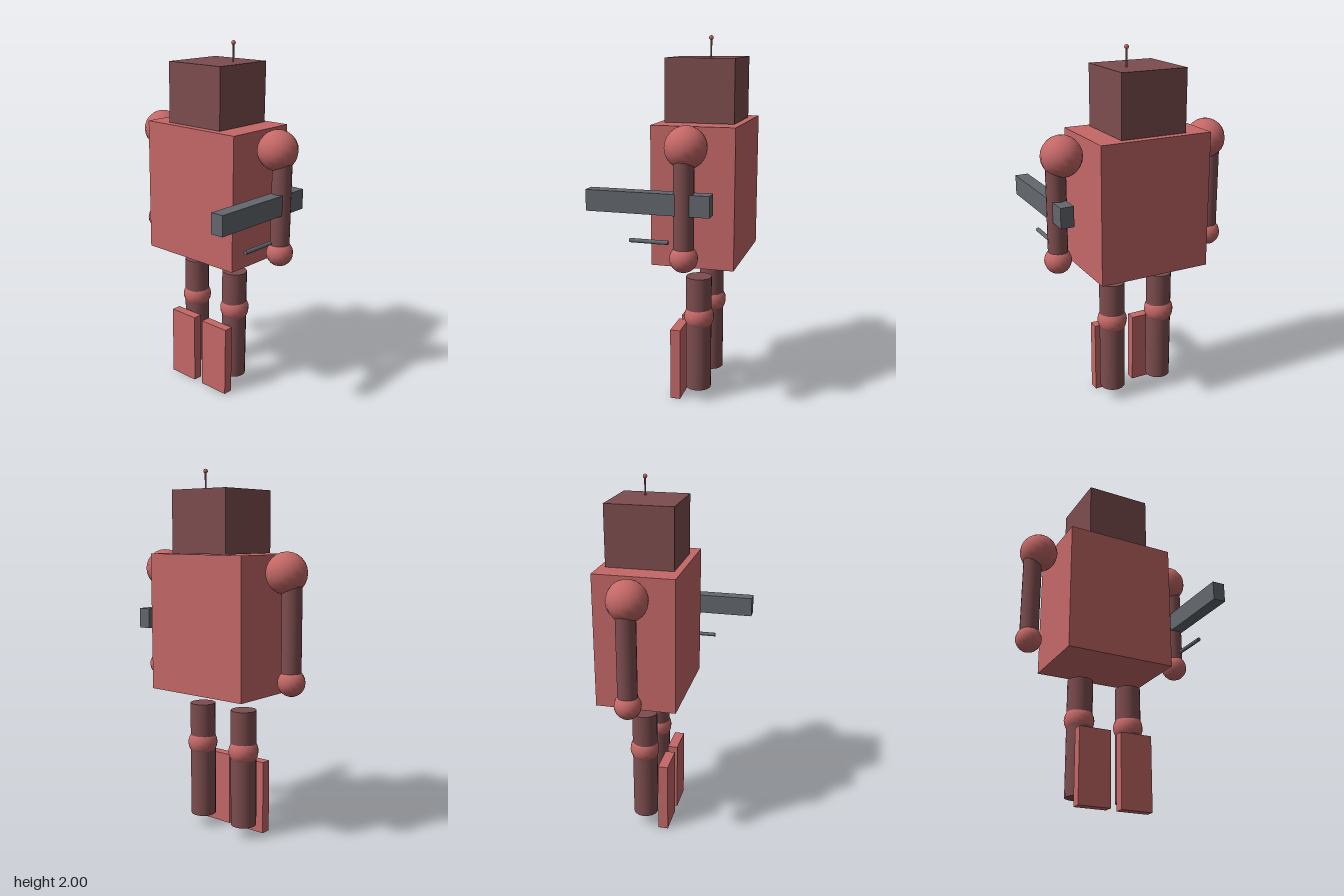
import * as THREE from 'three';

const red = new THREE.MeshStandardMaterial({ name: 'lightRed', color: 0xc46867 });
const brown = new THREE.MeshStandardMaterial({ name: 'darkRed', color: 0x7d4d4f });
const grey = new THREE.MeshStandardMaterial({ name: 'gunGrey', color: 0x63686e });

export function createModel() {
  const model = new THREE.Group();
  model.name = 'robot';

  const add = (name, geometry, material, x, y, z, parent = model) => {
    const mesh = new THREE.Mesh(geometry, material);
    mesh.name = name;
    mesh.position.set(x, y, z);
    parent.add(mesh);
    return mesh;
  };
  const box = (w, h, d) => new THREE.BoxGeometry(w, h, d);
  const ball = (r) => new THREE.SphereGeometry(r, 16, 12);
  const rod = (r, h) => new THREE.CylinderGeometry(r, r, h, 16);

  // Torso, head and antenna
  add('torso', box(0.63, 0.742, 0.445), red, 0, 1.183, -0.145);
  add('head', box(0.37, 0.332, 0.372), brown, 0, 1.722, -0.146);
  add('antennaStalk', rod(0.005, 0.1), brown, 0.08, 1.938, -0.182);
  add('antennaTip', ball(0.012), red, 0.08, 1.988, -0.182);

  for (const [side, s] of [['left', 1], ['right', -1]]) {
    // Arm
    const arm = new THREE.Group();
    arm.name = side + 'Arm';
    model.add(arm);
    add('shoulder', ball(0.109), red, s * 0.428, 1.463, -0.143, arm);
    add('armTube', rod(0.053, 0.5), brown, s * 0.462, 1.19, -0.142, arm);
    add('hand', ball(0.073), red, s * 0.463, 0.906, -0.142, arm);

    // Leg, with the foot plate standing in front of it
    const leg = new THREE.Group();
    leg.name = side + 'Leg';
    model.add(leg);
    add('legTube', rod(0.071, 0.648), brown, s * 0.148, 0.392, -0.141, leg);
    add('knee', ball(0.083), red, s * 0.149, 0.487, -0.143, leg);
    add('footPlate', box(0.182, 0.41, 0.056), red, s * 0.121, 0.205, -0.022, leg);
  }

  // Blaster on the left arm, with a thin rod below it
  add('blaster', box(0.073, 0.11, 0.648), grey, 0.463, 1.185, 0.041);
  const lowerRod = add('lowerRod', rod(0.011, 0.205), grey, 0.461, 0.981, 0.042);
  lowerRod.rotation.x = Math.PI / 2;

  return model;
}
